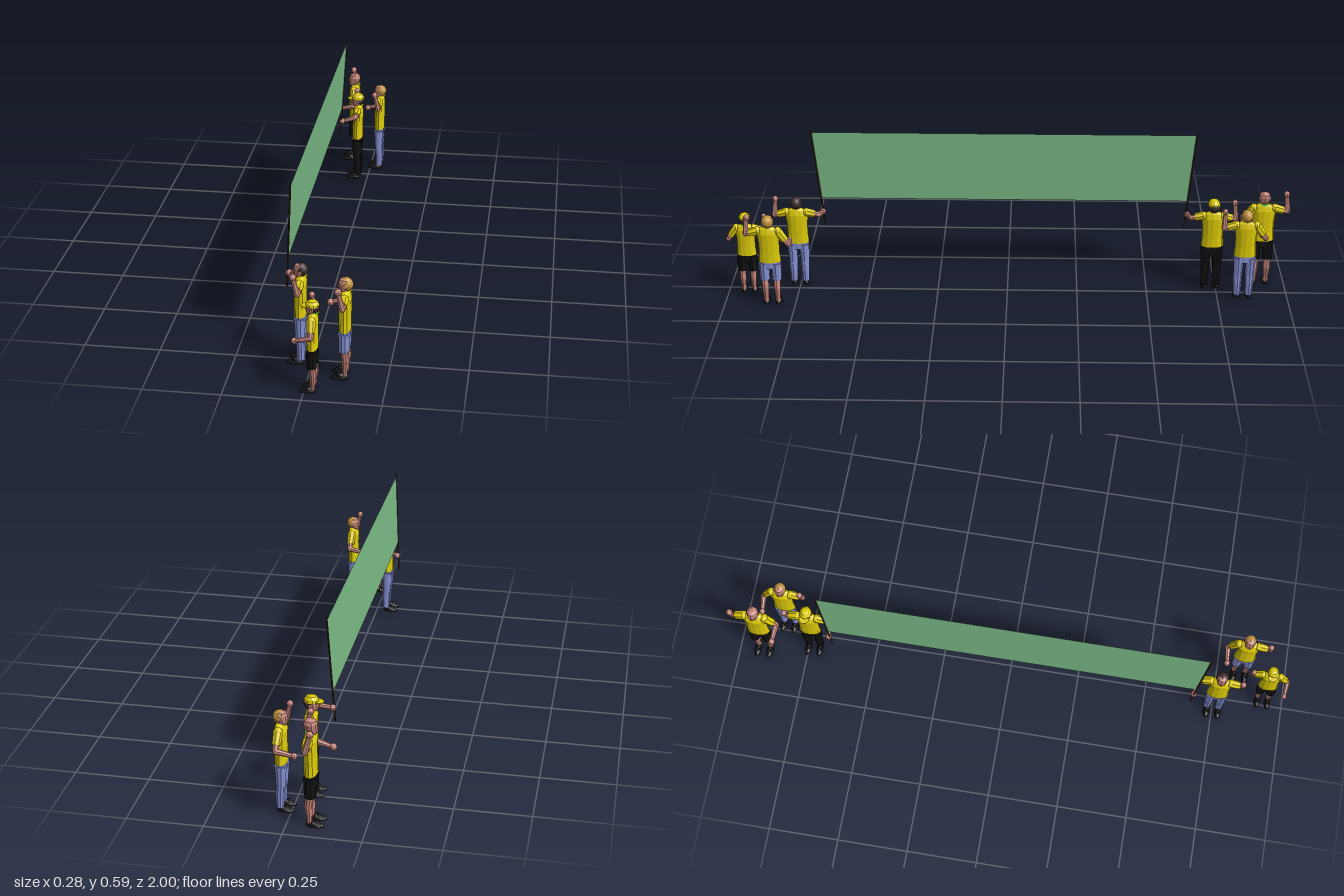
import * as THREE from 'three';

const mat = (color, side = THREE.FrontSide) =>
  new THREE.MeshStandardMaterial({ color, flatShading: true, side });
const M = {
  skin: mat(0xc48479), yellow: mat(0xdcca08), black: mat(0x121212), blue: mat(0x8792d6),
  blond: mat(0xc2933f), dark: mat(0x3a2c2c), collar: mat(0x7be02c), pole: mat(0x3d2c12),
  banner: mat(0x7cbc88, THREE.DoubleSide),
};
const V = (x, y, z) => new THREE.Vector3(x, y, z);

function add(parent, name, geometry, material) {
  const mesh = new THREE.Mesh(geometry, material);
  mesh.name = name;
  parent.add(mesh);
  return mesh;
}

// Closed stack of horizontal ellipses, each [x, y, z, radiusX, radiusZ], listed upwards
function loft(sections, n = 10) {
  const pos = [], idx = [];
  for (const [x, y, z, rx, rz] of sections)
    for (let j = 0; j < n; j++) {
      const a = (j / n) * Math.PI * 2;
      pos.push(x + rx * Math.cos(a), y, z + rz * Math.sin(a));
    }
  const last = sections.length - 1;
  for (let j = 0; j < n; j++) {
    const k = (j + 1) % n;
    for (let i = 0; i < last; i++) {
      const a = i * n + j, b = i * n + k;
      idx.push(a, a + n, b, b, a + n, b + n);
    }
    if (j > 0 && j < n - 1) idx.push(0, j, k, last * n, last * n + k, last * n + j);
  }
  const g = new THREE.BufferGeometry();
  g.setAttribute('position', new THREE.Float32BufferAttribute(pos, 3));
  g.setIndex(idx);
  const flat = g.toNonIndexed();
  flat.computeVertexNormals();
  return flat;
}

// Tapered rod between two points
function rod(a, b, ra, rb, n = 7) {
  const d = b.clone().sub(a);
  const g = new THREE.CylinderGeometry(rb, ra, d.length(), n);
  g.applyQuaternion(new THREE.Quaternion().setFromUnitVectors(V(0, 1, 0), d.normalize()));
  const c = a.clone().add(b).multiplyScalar(0.5);
  return g.translate(c.x, c.y, c.z);
}

const ball = (x, y, z, rx, ry, rz, ...arc) =>
  new THREE.SphereGeometry(1, 10, 7, ...arc).scale(rx, ry, rz).translate(x, y, z);

// Elbow and hand positions of each arm pose, for the +z side
const POSES = {
  raised: [V(0.002, 0.278, 0.078), V(-0.012, 0.334, 0.075)],
  forward: [V(0.004, 0.24, 0.069), V(-0.054, 0.226, 0.064)],
  holding: [V(0, 0.28, 0.078), V(-0.05, 0.268, 0.088)],
};

function arm(person, pose, side) {
  const g = new THREE.Group();
  g.name = pose + 'Arm';
  const [elbow, hand] = POSES[pose].map(p => V(p.x, p.y, p.z * side));
  const shoulder = V(0.002, 0.29, 0.035 * side);
  const cuff = shoulder.clone().lerp(elbow, 0.68);
  add(g, 'shoulder', ball(shoulder.x, shoulder.y, shoulder.z, 0.016, 0.015, 0.014), M.yellow);
  add(g, 'sleeve', rod(shoulder, cuff, 0.016, 0.014), M.yellow);
  add(g, 'upperArm', rod(cuff, elbow, 0.0105, 0.0095), M.skin);
  add(g, 'elbow', ball(elbow.x, elbow.y, elbow.z, 0.0095, 0.0095, 0.0095), M.skin);
  add(g, 'forearm', rod(elbow, hand, 0.0105, 0.007), M.skin);
  add(g, 'fist', ball(hand.x, hand.y, hand.z, 0.0115, 0.0115, 0.0105), M.skin);
  person.add(g);
}

function leg(person, side, cloth, shorts) {
  const g = new THREE.Group();
  g.name = side > 0 ? 'rightLeg' : 'leftLeg';
  const z = 0.021 * side;
  if (shorts) {
    add(g, 'shortsLeg', loft([[-0.001, 0.1, z, 0.0175, 0.0175], [0, 0.165, z, 0.02, 0.019]]), cloth);
    add(g, 'shin', loft([[0.002, 0.015, z, 0.009, 0.009], [0.002, 0.03, z, 0.009, 0.009],
      [0.005, 0.068, z, 0.0135, 0.0125], [0, 0.105, z, 0.0125, 0.0125]]), M.skin);
  } else {
    add(g, 'trouserLeg', loft([[0.002, 0.017, z, 0.013, 0.013], [0.003, 0.06, z, 0.0145, 0.0145],
      [0, 0.095, z, 0.0155, 0.016], [0, 0.165, z, 0.02, 0.019]]), cloth);
  }
  // Shoe: ellipsoid with a flattened sole and a lower toe
  const shoe = ball(-0.015, 0.005, z, 0.029, 0.019, 0.013);
  const p = shoe.attributes.position;
  for (let i = 0; i < p.count; i++) {
    const toe = p.getX(i) < -0.02 ? 0.7 : 1;
    p.setY(i, Math.max(0.003, p.getY(i) * toe));
  }
  add(g, 'shoe', shoe, M.black);
  person.add(g);
}

function head(person, hair, cap, collar) {
  const g = new THREE.Group();
  g.name = 'head';
  add(g, 'neck', loft([[0.004, 0.298, 0, 0.011, 0.011], [0.002, 0.318, 0, 0.01, 0.01]]), M.skin);
  add(g, 'skull', loft([[-0.009, 0.301, 0, 0.009, 0.009], [-0.005, 0.308, 0, 0.016, 0.015],
    [0, 0.32, 0, 0.0205, 0.0185], [0.001, 0.332, 0, 0.0215, 0.0195],
    [0.001, 0.342, 0, 0.018, 0.016], [0.002, 0.347, 0, 0.009, 0.008]]), M.skin);
  add(g, 'nose', new THREE.ConeGeometry(0.004, 0.011, 4).translate(-0.0215, 0.322, 0), M.skin);
  for (const s of [-1, 1]) add(g, 'ear', ball(0.003, 0.322, 0.0195 * s, 0.004, 0.006, 0.0025), M.skin);
  if (collar) add(g, 'collar', loft([[0.003, 0.302, 0, 0.016, 0.017], [0.003, 0.308, 0, 0.014, 0.015]]), M.collar);
  if (hair) {
    const h = ball(0, 0, 0, 0.0235, 0.0235, 0.0215, 0, Math.PI * 2, 0, Math.PI * 0.56);
    add(g, 'hair', h.rotateZ(-0.85).translate(0.003, 0.326, 0), hair === M.dark ? HAIR.dark : HAIR.blond);
  }
  if (cap) {
    add(g, 'cap', loft([[0.001, 0.331, 0, 0.0245, 0.0225], [0.001, 0.341, 0, 0.0235, 0.021],
      [0.001, 0.35, 0, 0.016, 0.0145], [0.001, 0.353, 0, 0.006, 0.006]]), M.yellow);
    add(g, 'capBrim', new THREE.CylinderGeometry(0.018, 0.018, 0.003, 10)
      .rotateZ(0.12).translate(-0.022, 0.333, 0), M.yellow);
  }
  person.add(g);
}
const HAIR = { dark: mat(0x3a2c2c, THREE.DoubleSide), blond: mat(0xc2933f, THREE.DoubleSide) };

// A standing supporter facing -x; raisedSide is the z side of the lifted fist
function supporter({ x, z, scale = 1, cloth, shorts, hair, cap, collar, raisedSide, other }) {
  const p = new THREE.Group();
  p.name = 'supporter';
  add(p, 'shirt', loft([[0, 0.172, 0, 0.021, 0.04], [0, 0.205, 0, 0.0205, 0.037],
    [0.001, 0.245, 0, 0.0205, 0.037], [0.001, 0.282, 0, 0.021, 0.042],
    [0.003, 0.299, 0, 0.015, 0.034], [0.004, 0.307, 0, 0.011, 0.016]], 12), M.yellow);
  add(p, 'hips', loft([[0, 0.147, 0, 0.018, 0.034], [0, 0.176, 0, 0.0195, 0.0385]], 12), cloth);
  for (const s of [-1, 1]) leg(p, s, cloth, shorts);
  head(p, hair, cap, collar);
  arm(p, 'raised', raisedSide);
  arm(p, other, -raisedSide);
  p.scale.setScalar(scale);
  p.position.set(x, 0, z);
  return p;
}

export function createModel() {
  const model = new THREE.Group();
  model.name = 'bannerCrowd';
  const crowd = [
    { x: -0.075, z: -0.912, scale: 1.055, cloth: M.black, shorts: true, collar: true, raisedSide: -1, other: 'forward' },
    { x: 0.034, z: -0.84, cloth: M.blue, hair: M.blond, raisedSide: 1, other: 'forward' },
    { x: -0.04, z: -0.73, cloth: M.black, hair: M.dark, cap: true, raisedSide: -1, other: 'holding' },
    { x: -0.038, z: 0.752, cloth: M.blue, hair: M.dark, raisedSide: 1, other: 'holding' },
    { x: 0.114, z: 0.832, cloth: M.blue, shorts: true, hair: M.blond, raisedSide: 1, other: 'forward' },
    { x: 0.026, z: 0.928, scale: 0.89, cloth: M.black, shorts: true, hair: M.dark, cap: true, collar: true, raisedSide: -1, other: 'forward' },
  ];
  for (const c of crowd) model.add(supporter(c));

  // Leaning poles
  const poles = [
    [V(-0.096, 0.215, 0.659), V(-0.075, 0.592, 0.692)],
    [V(-0.096, 0.215, -0.632), V(-0.075, 0.592, -0.662)],
  ];
  for (const [a, b] of poles) add(model, 'pole', rod(a, b, 0.003, 0.003, 6), M.pole);

  // Banner sheet stretched between the poles
  const sheet = new THREE.PlaneGeometry(1, 1);
  const corners = [[0, 0.973], [1, 0.973], [0, 0.28], [1, 0.28]];
  corners.forEach(([side, t], i) => {
    const c = poles[side][0].clone().lerp(poles[side][1], t);
    sheet.attributes.position.setXYZ(i, c.x, c.y, c.z);
  });
  sheet.computeVertexNormals();
  add(model, 'banner', sheet, M.banner);
  return model;
}
